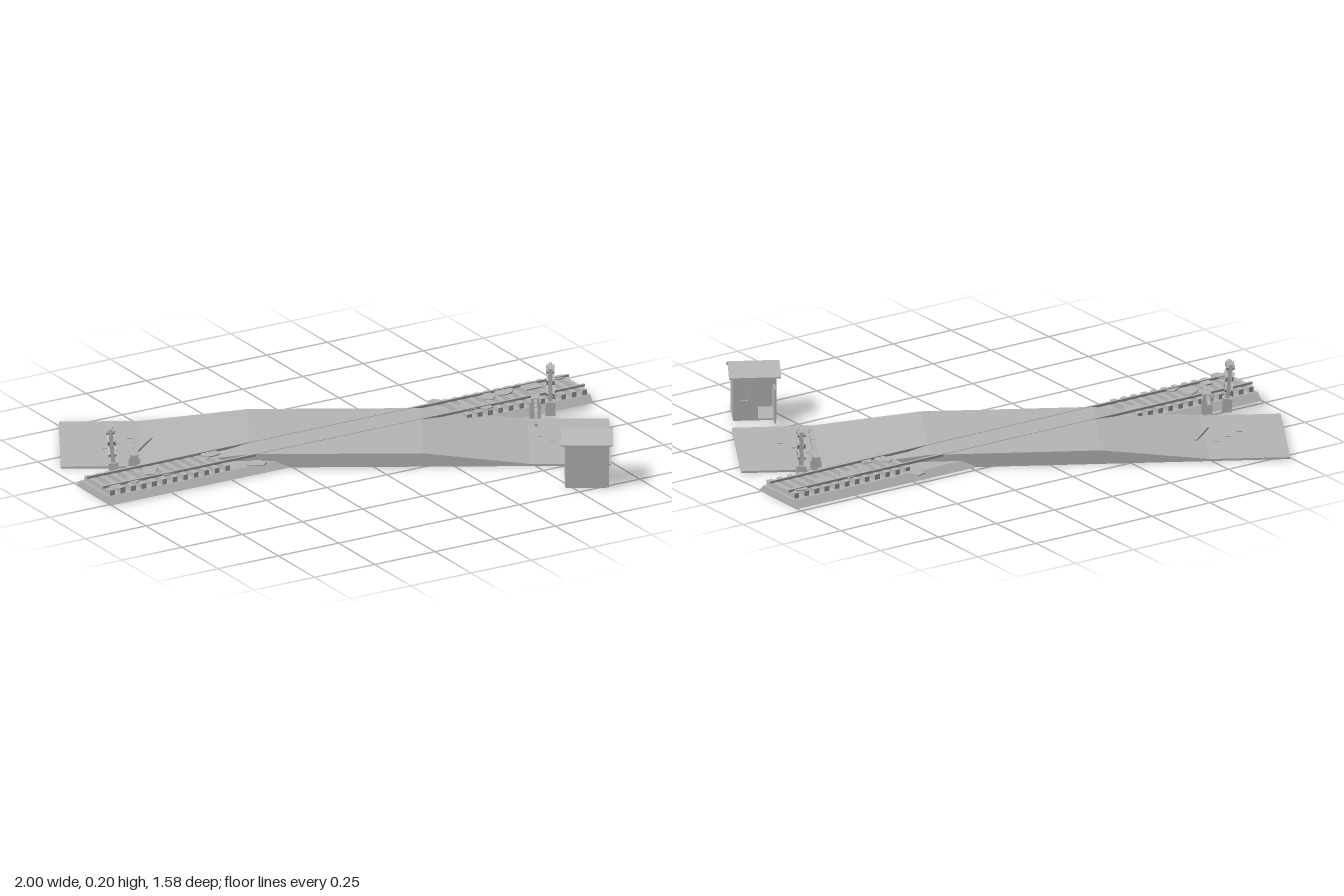
import * as THREE from 'three';

const grey = new THREE.MeshStandardMaterial({ color: 0xb6b6b6 });
grey.name = 'plain grey';
grey.flatShading = true;
const ROAD_ANGLE = -Math.PI / 6;

function add(parent, name, geometry, x = 0, y = 0, z = 0) {
  const mesh = new THREE.Mesh(geometry, grey);
  mesh.name = name;
  mesh.position.set(x, y, z);
  parent.add(mesh);
  return mesh;
}

function box(parent, name, w, h, d, x, y, z) {
  return add(parent, name, new THREE.BoxGeometry(w, h, d), x, y, z);
}

function group(parent, name, x = 0, y = 0, z = 0, turn = 0) {
  const g = new THREE.Group();
  g.name = name;
  g.position.set(x, y, z);
  g.rotation.y = turn;
  parent.add(g);
  return g;
}

// Outline in x/y pushed along z, centred on z = 0
function prism(points, depth, holes = []) {
  const toVec = (p) => new THREE.Vector2(p[0], p[1]);
  const shape = new THREE.Shape(points.map(toVec));
  holes.forEach((h) => shape.holes.push(new THREE.Path(h.map(toVec))));
  return new THREE.ExtrudeGeometry(shape, { depth, bevelEnabled: false }).translate(0, 0, -depth / 2);
}

const rect = (x0, y0, x1, y1) => [[x0, y0], [x1, y0], [x1, y1], [x0, y1]];

function buildRoad(parent) {
  const road = group(parent, 'road', -0.005, 0, -0.102, ROAD_ANGLE);
  add(road, 'roadSurface', prism([
    [-0.98, 0], [0.98, 0], [0.98, 0.007], [0.69, 0.008], [0.308, 0.051],
    [-0.308, 0.051], [-0.69, 0.008], [-0.98, 0.007],
  ], 0.454));
}

function buildTrack(parent) {
  const track = group(parent, 'track', 0, 0, -0.108);
  // Ballast bed with sloping shoulders
  const bed = add(track, 'ballast', prism([[-0.121, 0], [0.121, 0], [0.094, 0.025], [-0.094, 0.025]], 2));
  bed.rotation.y = Math.PI / 2;
  for (const z of [-0.056, 0.056]) box(track, 'rail', 2, 0.009, 0.009, 0, 0.0475, z);
  for (const side of [-1, 1]) {
    for (let i = 0; i < 12; i++) {
      box(track, 'sleeper', 0.02, 0.019, 0.176, side * (0.98 - i * 0.0435), 0.0345, 0.004);
    }
  }
  // Ragged weed patches lying over the sleepers
  const patches = [
    [-0.95, 0.07, 0.035], [-0.87, 0.045, 0.035], [-0.77, 0.0, 0.045], [-0.73, 0.05, 0.03],
    [-0.5, -0.035, 0.04], [-0.38, 0.085, 0.04], [0.49, -0.105, 0.04], [0.53, 0.03, 0.04],
    [0.59, 0.055, 0.035], [0.65, -0.02, 0.035], [0.72, -0.035, 0.045], [0.83, -0.03, 0.045], [0.95, -0.06, 0.03],
  ];
  patches.forEach(([x, z, r], i) => {
    const outline = [];
    for (let k = 0; k < 7; k++) {
      const a = (k / 7) * Math.PI * 2 + i;
      const s = r * (0.5 + 0.5 * Math.abs(Math.sin(k * 2.3 + i * 1.7)));
      outline.push([Math.cos(a) * s, Math.sin(a) * s]);
    }
    const patch = add(track, 'weedPatch', prism(outline, 0.004), x, Math.abs(z) > 0.08 ? 0.028 : 0.047, z);
    patch.rotation.x = -Math.PI / 2;
  });
}

// Warning post: crossed boards, lamp box and control box; local x runs along the road
function buildSign(parent, x, z, lean) {
  const sign = group(parent, 'warningPost', x, 0, z, ROAD_ANGLE);
  sign.rotation.z = lean;
  box(sign, 'post', 0.015, 0.175, 0.015, 0, 0.0875, 0);
  box(sign, 'footing', 0.035, 0.05, 0.035, 0, 0.025, 0);
  for (const s of [-1, 1]) {
    const board = box(sign, 'crossBoard', 0.006, 0.085, 0.017, s * 0.011, 0.115, 0);
    board.rotation.x = Math.PI / 4;
    const other = box(sign, 'crossBoard', 0.006, 0.085, 0.017, s * 0.011, 0.115, 0);
    other.rotation.x = -Math.PI / 4;
    // Lamps with short hoods at the top
    const lamp = add(sign, 'lamp', new THREE.CylinderGeometry(0.011, 0.011, 0.03, 8), 0, 0.172, s * 0.018);
    lamp.rotation.z = Math.PI / 2;
  }
  box(sign, 'lampBoard', 0.014, 0.02, 0.062, 0, 0.174, 0);
}

// Barrier: drive housing, counterweight and an arm along local z
function buildBarrier(parent, x, z, length, turn) {
  const barrier = group(parent, 'barrier', x, 0, z, turn);
  box(barrier, 'driveHousing', 0.04, 0.06, 0.035, 0, 0.03, 0);
  box(barrier, 'pivotBlock', 0.03, 0.02, 0.06, 0, 0.07, 0);
  box(barrier, 'counterweight', 0.018, 0.022, 0.022, 0, 0.07, -0.03);
  box(barrier, 'arm', 0.011, 0.011, length, 0, 0.072, length / 2);
  for (let t = 0.06; t < length; t += 0.05) {
    box(barrier, 'armBand', 0.013, 0.013, 0.012, 0, 0.072, t);
  }
}

function buildHut(parent) {
  const hut = group(parent, 'hut', 0.575, 0, 0.675, ROAD_ANGLE);
  const hw = 0.0775, hd = 0.066, t = 0.006, eave = 0.165, ridge = 0.203;
  box(hut, 'floor', hw * 2, 0.006, hd * 2, 0, 0.003, 0);
  box(hut, 'frontWall', hw * 2, eave, t, 0, eave / 2, hd - t / 2);
  // Rear wall with doorway and small window
  add(hut, 'rearWall', prism(rect(-hw, 0, hw, eave), t, [
    rect(-0.066, 0.006, -0.012, 0.135), rect(0.025, 0.075, 0.05, 0.12),
  ]), 0, 0, -hd + t / 2);
  // Gable walls
  for (const s of [-1, 1]) {
    const gable = add(hut, 'gableWall', prism([
      [-hd, 0], [hd, 0], [hd, eave], [0, ridge - 0.006], [-hd, eave],
    ], t), s * (hw - t / 2), 0, 0);
    gable.rotation.y = Math.PI / 2;
  }
  // Roof with overhang
  const roof = add(hut, 'roof', prism([
    [-0.079, 0.161], [0, 0.197], [0.079, 0.161], [0.079, 0.166], [0, ridge], [-0.079, 0.166],
  ], 0.186));
  roof.rotation.y = Math.PI / 2;
  // Door standing open
  box(hut, 'openDoor', 0.005, 0.13, 0.056, -0.069, 0.071, -hd - 0.028);
}

// Broken pieces of barrier arm and chips lying on the road
function buildDebris(parent) {
  const debris = group(parent, 'debris', -0.005, 0, -0.102, ROAD_ANGLE);
  const arm = box(debris, 'brokenArm', 0.14, 0.008, 0.011, -0.68, 0.013, 0.02);
  arm.rotation.y = -Math.PI * 0.62;
  for (const s of [-1, 1]) {
    for (let i = 0; i < 3; i++) {
      box(debris, 'roadChip', 0.02, 0.004, 0.008, s * (0.73 + i * 0.045), 0.009, (i - 1) * 0.05);
    }
  }
}

export function createModel() {
  const model = new THREE.Group();
  model.name = 'levelCrossing';
  buildRoad(model);
  buildTrack(model);
  buildSign(model, -0.835, -0.245, 0.08);
  buildSign(model, 0.81, 0.03, 0);
  buildBarrier(model, 0.75, 0.025, 0.275, ROAD_ANGLE);
  buildBarrier(model, -0.765, -0.225, 0.13, ROAD_ANGLE + Math.PI);
  buildHut(model);
  buildDebris(model);
  return model;
}
